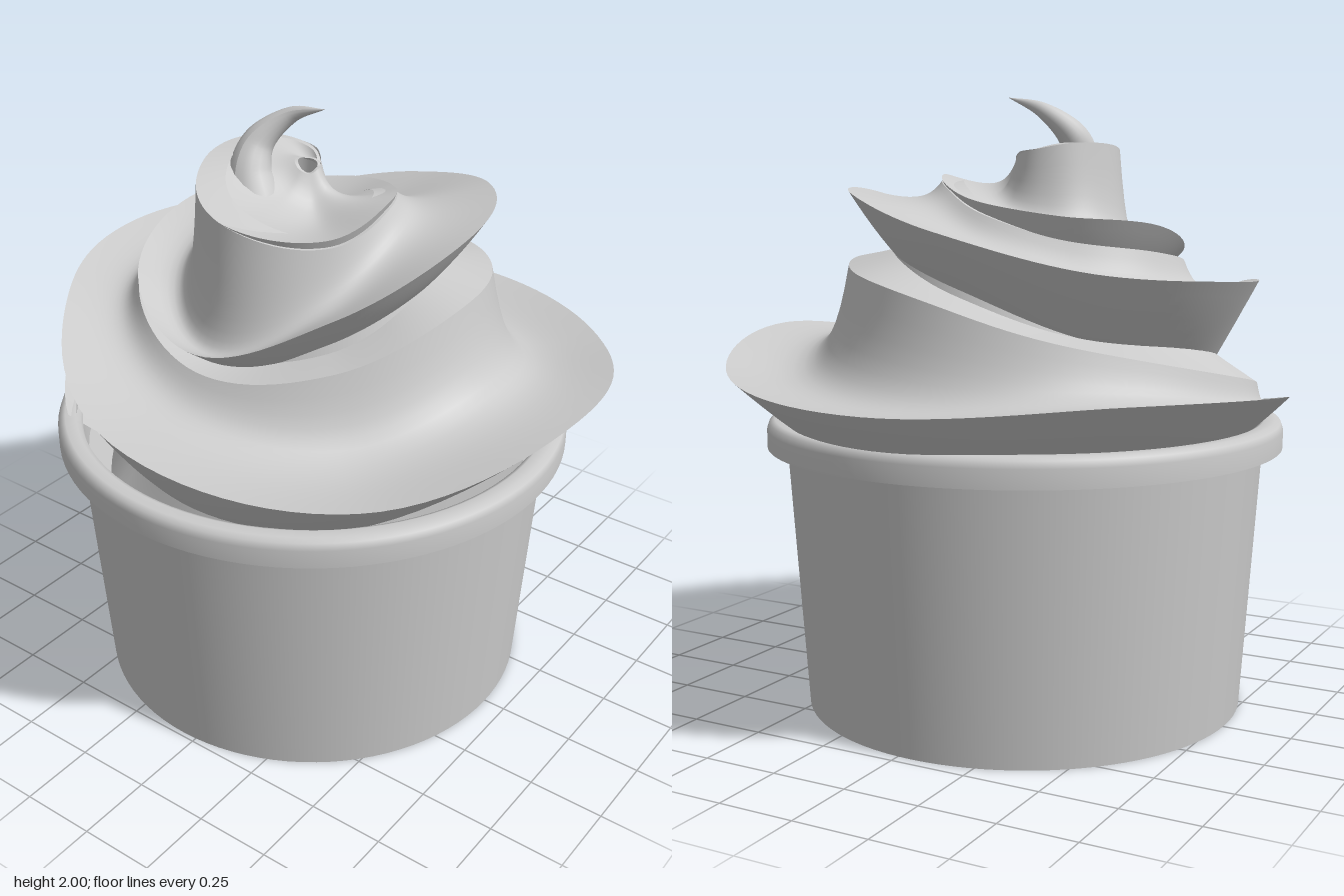
import * as THREE from 'three';

const grey = new THREE.MeshStandardMaterial({ color: 0xcccccc, side: THREE.DoubleSide });

function add(parent, name, geometry) {
  const mesh = new THREE.Mesh(geometry, grey);
  mesh.name = name;
  parent.add(mesh);
  return mesh;
}

// Smooth sheet lofted through rows of points
function loft(rows) {
  const n = rows[0].length, index = [];
  for (let i = 0; i < rows.length - 1; i++) {
    for (let j = 0; j < n - 1; j++) {
      const a = i * n + j, b = a + n;
      index.push(a, a + 1, b, b, a + 1, b + 1);
    }
  }
  const g = new THREE.BufferGeometry().setFromPoints(rows.flat());
  g.setIndex(index);
  g.computeVertexNormals();
  return g;
}

// Ridge of the swirl at every eighth of a turn:
// [radius, height, depth of the wall below, share of the climb to the next turn]
const ridge = [
  [0.80, 0.97, 0.15, 0.10],
  [0.89, 1.07, 0.20, 0.15], [0.94, 1.11, 0.20, 0.35], [1.00, 1.08, 0.20, 0.57], [0.99, 1.12, 0.20, 0.57],
  [0.99, 1.22, 0.22, 0.54], [0.96, 1.14, 0.22, 0.55], [0.93, 1.24, 0.30, 0.55], [0.77, 1.385, 0.40, 0.55],
  [0.75, 1.42, 0.25, 0.50], [0.65, 1.46, 0.20, 0.55], [0.61, 1.58, 0.18, 0.55], [0.59, 1.69, 0.20, 0.55],
  [0.58, 1.69, 0.20, 0.60], [0.55, 1.53, 0.15, 0.85], [0.56, 1.37, 0.10, 1.00], [0.54, 1.48, 0.12, 1.00],
  [0.46, 1.59, 0.15, 1.00], [0.34, 1.62, 0.15, 1.00], [0.30, 1.66, 0.15, 0.95], [0.27, 1.71, 0.15, 0.90],
  [0.31, 1.75, 0.18, 0.80], [0.37, 1.70, 0.18, 0.80], [0.43, 1.75, 0.20, 0.80], [0.32, 1.83, 0.20, 0.80],
  [0.21, 1.85, 0.20, 0.80], [0.12, 1.83, 0.15, 0.80], [0.06, 1.82, 0.10, 0.80], [0.04, 1.80, 0.10, 0.80],
];
const smooth = (i, j) => new THREE.CatmullRomCurve3(
  ridge.map((row, k) => new THREE.Vector3(row[i], row[j], k)), false, 'catmullrom');
const ridgeCurve = smooth(0, 1), shapeCurve = smooth(2, 3);
const last = ridge.length - 1;
const at = (curve, k) => curve.getPoint(Math.min(k / last, 1));

// Cross-section of the ribbon at step k, as curves of (radius, height)
function section(k) {
  const R = at(ridgeCurve, k), next = at(ridgeCurve, k + 8);
  const { x: drop, y: rise } = at(shapeCurve, k);
  const v = (x, y) => new THREE.Vector2(x, y);
  const edge = v(R.x, R.y);
  const step = v(next.x, R.y + (next.y - R.y) * rise);
  const gap = R.x - next.x;
  const waist = v(R.x * 0.75, R.y - drop);
  const foot = v(Math.min(R.x * 0.86, 0.73), Math.max(waist.y - 0.2, 0.83));
  const tuck = v(next.x * 0.74, Math.max(step.y, next.y - 0.2));
  return {
    foot: new THREE.LineCurve(foot, waist),
    wall: new THREE.QuadraticBezierCurve(waist, v(R.x * 0.87, R.y - drop * 0.6), edge),
    top: new THREE.CubicBezierCurve(edge, v(next.x + gap * 0.3, R.y - 0.05), v(next.x + gap * 0.16, R.y - 0.04), step),
    tuck: new THREE.LineCurve(step, tuck),
  };
}

function buildSwirl() {
  const swirl = new THREE.Group();
  swirl.name = 'swirl';
  const strips = { foot: 2, wall: 6, top: 12, tuck: 2 };
  const steps = 336;
  for (const [name, divisions] of Object.entries(strips)) {
    const rows = [];
    for (let i = 0; i <= steps; i++) {
      const k = (i / steps) * last, a = ((k - 1) * Math.PI) / 4;
      rows.push(section(k)[name].getPoints(divisions).map((p) =>
        new THREE.Vector3(-0.05 - p.x * Math.cos(a), p.y, 0.03 - p.x * Math.sin(a))));
    }
    add(swirl, name + 'Ribbon', loft(rows));
  }
  return swirl;
}

// Curled tip: a tube narrowed to a point
function buildTip() {
  const path = new THREE.CatmullRomCurve3([
    [-0.15, 1.70, 0.17], [-0.18, 1.79, 0.15], [-0.175, 1.87, 0.11], [-0.09, 1.955, 0.06], [0.04, 2.0, 0.06],
  ].map((p) => new THREE.Vector3(...p)));
  const rings = 32, sides = 16;
  const g = new THREE.TubeGeometry(path, rings, 0.085, sides);
  const pos = g.attributes.position, p = new THREE.Vector3();
  for (let i = 0; i < pos.count; i++) {
    const u = Math.floor(i / (sides + 1)) / rings;
    const c = path.getPointAt(u);
    p.fromBufferAttribute(pos, i).sub(c).multiplyScalar(1 - u).add(c);
    pos.setXYZ(i, p.x, p.y, p.z);
  }
  g.computeVertexNormals();
  return g;
}

// Cup with recessed base, rolled rim and hollow inside, one lathe per sharp-edged band
function buildCup() {
  const cup = new THREE.Group();
  cup.name = 'cup';
  const bands = {
    base: [[0, 0.02], [0.695, 0.02]],
    baseLip: [[0.695, 0.02], [0.70, 0]],
    footRing: [[0.70, 0], [0.725, 0]],
    outerWall: [[0.725, 0], [0.785, 0.87]],
    rimUnderside: [[0.785, 0.87], [0.85, 0.87]],
    rim: [[0.85, 0.87], [0.85, 0.93], [0.842, 0.952], [0.825, 0.962], [0.79, 0.962], [0.775, 0.955], [0.768, 0.93]],
    innerWall: [[0.768, 0.93], [0.705, 0.05]],
    innerFloor: [[0.705, 0.05], [0, 0.05]],
  };
  for (const [name, points] of Object.entries(bands)) {
    add(cup, name, new THREE.LatheGeometry(points.map((p) => new THREE.Vector2(...p)), 96));
  }
  cup.position.set(-0.05, 0, 0.01);
  return cup;
}

export function createModel() {
  const model = new THREE.Group();
  model.name = 'frozenDessertCup';
  model.add(buildCup());

  // Cream inside the cup, below the swirl
  const filling = add(model, 'filling', new THREE.CircleGeometry(0.755, 64));
  filling.rotation.x = -Math.PI / 2;
  filling.position.set(-0.05, 0.84, 0.01);

  model.add(buildSwirl());
  add(model, 'curledTip', buildTip());
  return model;
}
